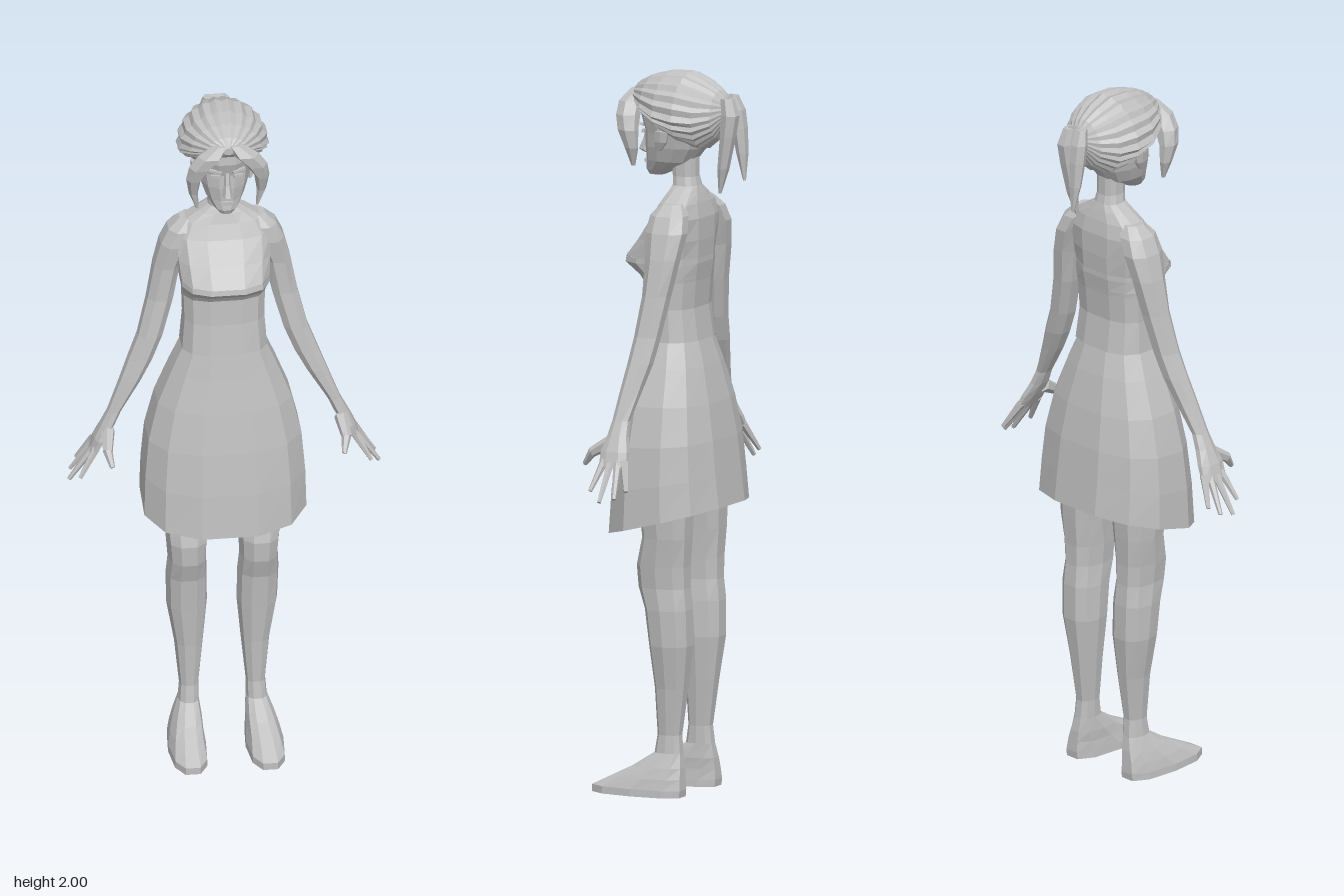
import * as THREE from 'three';
import { mergeGeometries } from 'three/addons/utils/BufferGeometryUtils.js';

const grey = new THREE.MeshStandardMaterial({ color: 0xc0c0c0, side: THREE.DoubleSide });
grey.name = 'clayGrey';

// Horizontal cross-section; boxiness below 1 squares it off, tilt slopes it along z
function level(y, x, zFront, zBack, halfWidth, sides, boxiness = 0.8, tilt = 0) {
  const mid = (zFront + zBack) / 2, depth = (zFront - zBack) / 2, ring = [];
  const pow = (v) => Math.sign(v) * Math.abs(v) ** boxiness;
  for (let i = 0; i < sides; i++) {
    const a = ((i + 0.5) / sides) * Math.PI * 2;
    const z = mid + depth * pow(Math.cos(a)) / pow(Math.cos(Math.PI / sides));
    ring.push(new THREE.Vector3(x + halfWidth * pow(Math.sin(a)), y + tilt * z, z));
  }
  return ring;
}

// Faceted skin over a stack of rings
function loft(rings, capped = true) {
  const n = rings[0].length, pos = [];
  const tri = (...pts) => pts.forEach((p) => pos.push(p.x, p.y, p.z));
  for (let r = 0; r < rings.length - 1; r++) {
    for (let i = 0; i < n; i++) {
      const j = (i + 1) % n, a = rings[r], b = rings[r + 1];
      tri(a[i], a[j], b[j]);
      tri(a[i], b[j], b[i]);
    }
  }
  if (capped) {
    const lo = rings[0], hi = rings[rings.length - 1];
    for (let i = 1; i < n - 1; i++) {
      tri(lo[0], lo[i + 1], lo[i]);
      tri(hi[0], hi[i], hi[i + 1]);
    }
  }
  const g = new THREE.BufferGeometry();
  g.setAttribute('position', new THREE.Float32BufferAttribute(pos, 3));
  g.computeVertexNormals();
  return g;
}

// Rows of [y, x, zFront, zBack, halfWidth, tilt], bottom to top
const stack = (rows, sides, boxiness, side = 1, capped = true) =>
  loft(rows.map(([y, x, f, b, w, t]) => level(y, side * x, f, b, w, sides, boxiness, t)), capped);

// Tapered segment between two points
function segment(a, b, ra, rb, sides = 6) {
  const from = new THREE.Vector3(...a), to = new THREE.Vector3(...b);
  const dir = to.clone().sub(from);
  let g = new THREE.CylinderGeometry(rb, ra, dir.length(), sides).toNonIndexed();
  g.applyQuaternion(new THREE.Quaternion().setFromUnitVectors(new THREE.Vector3(0, 1, 0), dir.normalize()));
  g.translate(...from.add(to).multiplyScalar(0.5).toArray());
  g.deleteAttribute('uv');
  g.computeVertexNormals();
  return g;
}

export function createModel() {
  const model = new THREE.Group();
  const add = (name, geometry) => {
    const mesh = new THREE.Mesh(geometry, grey);
    mesh.name = name;
    model.add(mesh);
    return mesh;
  };

  // Open skirt with a hem that rises at the back
  add('skirt', stack([
    [0.762, 0, 0.16, -0.165, 0.23, -0.26], [0.87, 0, 0.15, -0.155, 0.227, -0.15],
    [0.98, 0, 0.135, -0.145, 0.217, -0.06], [1.09, 0, 0.117, -0.128, 0.19, 0],
    [1.19, 0, 0.1, -0.105, 0.15, 0], [1.26, 0, 0.09, -0.085, 0.12, 0],
  ], 12, 0.8, 1, false));

  // Bodice with the ledge under the bust
  add('bodice', stack([
    [1.26, 0, 0.09, -0.085, 0.12], [1.35, 0, 0.078, -0.072, 0.113], [1.425, 0, 0.075, -0.078, 0.115],
    [1.44, 0, 0.085, -0.08, 0.118], [1.475, 0, 0.133, -0.085, 0.124], [1.49, 0, 0.13, -0.085, 0.124],
  ], 12, 0.7, 1, false));

  add('chestAndNeck', stack([
    [1.49, 0, 0.13, -0.085, 0.124], [1.54, 0, 0.09, -0.088, 0.13], [1.6, 0, 0.045, -0.088, 0.135],
    [1.64, 0, 0.025, -0.08, 0.112], [1.667, 0, 0.015, -0.072, 0.068], [1.685, 0, 0.008, -0.066, 0.04],
    [1.71, 0, 0.01, -0.06, 0.034], [1.77, 0, 0.015, -0.06, 0.034],
  ], 12, 0.75, 1, false));

  for (const [s, label] of [[1, 'left'], [-1, 'right']]) {
    // Bare leg and foot in one skin
    add(label + 'Leg', stack([
      [0, 0.107, 0.2, -0.068, 0.053], [0.02, 0.107, 0.2, -0.07, 0.052], [0.05, 0.105, 0.14, -0.068, 0.046],
      [0.08, 0.1, 0.08, -0.066, 0.04], [0.12, 0.094, 0.018, -0.06, 0.029], [0.17, 0.092, 0.01, -0.055, 0.027],
      [0.3, 0.092, 0.016, -0.072, 0.04], [0.42, 0.097, 0.028, -0.087, 0.056], [0.52, 0.099, 0.04, -0.086, 0.057],
      [0.58, 0.099, 0.06, -0.08, 0.053], [0.64, 0.1, 0.064, -0.08, 0.057], [0.72, 0.102, 0.045, -0.085, 0.063],
      [0.85, 0.1, 0.06, -0.09, 0.075], [1.0, 0.09, 0.06, -0.09, 0.082],
    ], 10, 0.8, s));

    // Arm from palm to shoulder
    add(label + 'Arm', stack([
      [0.95, 0.362, 0.055, -0.028, 0.012], [0.99, 0.343, 0.058, -0.022, 0.018], [1.03, 0.322, 0.048, -0.01, 0.02],
      [1.07, 0.303, 0.042, -0.005, 0.019], [1.16, 0.257, 0.036, -0.022, 0.03], [1.22, 0.229, 0.03, -0.035, 0.035],
      [1.29, 0.201, 0.024, -0.044, 0.036], [1.4, 0.172, 0.014, -0.06, 0.038], [1.5, 0.153, 0.015, -0.078, 0.038],
      [1.57, 0.132, 0.024, -0.088, 0.041], [1.615, 0.11, 0.02, -0.08, 0.042], [1.645, 0.085, 0.0, -0.06, 0.035],
    ], 8, 0.9, s));

    // Fingers and thumb
    const tips = [[0.4, 0.89, -0.045], [0.42, 0.87, -0.018], [0.428, 0.86, 0.023], [0.402, 0.885, 0.064]];
    const digits = tips.map((t, i) =>
      segment([s * 0.355, 0.965, -0.017 + i * 0.02], [s * t[0], t[1], t[2]], 0.012, 0.006));
    digits.push(segment([s * 0.322, 1.015, 0.035], [s * 0.33, 0.98, 0.095], 0.02, 0.014));
    digits.push(segment([s * 0.33, 0.985, 0.09], [s * 0.32, 0.945, 0.122], 0.014, 0.007));
    add(label + 'Fingers', mergeGeometries(digits));

    // Swept fringe lock
    add(label + 'Fringe', stack([
      [1.74, 0.083, 0.1, 0.09, 0.004], [1.79, 0.094, 0.112, 0.078, 0.013], [1.84, 0.094, 0.132, 0.08, 0.021],
      [1.88, 0.077, 0.143, 0.085, 0.031], [1.915, 0.048, 0.147, 0.09, 0.036], [1.945, 0.018, 0.13, 0.09, 0.02],
    ], 6, 0.9, s));

    // Ear, eye and brow
    add(label + 'Ear', stack([
      [1.785, 0.072, 0.03, 0.015, 0.006], [1.81, 0.078, 0.03, -0.005, 0.01], [1.84, 0.08, 0.028, -0.012, 0.012],
    ], 6, 1, s));
    const eye = add(label + 'Eye', new THREE.BoxGeometry(0.026, 0.009, 0.008));
    eye.position.set(s * 0.031, 1.83, 0.089);
    eye.rotation.y = s * 0.25;
    const brow = add(label + 'Brow', new THREE.BoxGeometry(0.036, 0.007, 0.009));
    brow.position.set(s * 0.033, 1.848, 0.092);
    brow.rotation.set(0, s * 0.25, s * 0.2);
  }

  // Head from chin to crown
  add('head', stack([
    [1.708, 0, 0.086, 0.04, 0.02], [1.722, 0, 0.092, 0.01, 0.034], [1.75, 0, 0.088, -0.05, 0.054],
    [1.79, 0, 0.09, -0.08, 0.068], [1.83, 0, 0.088, -0.095, 0.075], [1.87, 0, 0.1, -0.1, 0.08],
    [1.93, 0, 0.095, -0.09, 0.075],
  ], 12, 0.9));
  add('nose', stack([
    [1.766, 0, 0.1, 0.08, 0.012], [1.774, 0, 0.117, 0.08, 0.015],
    [1.805, 0, 0.104, 0.08, 0.009], [1.84, 0, 0.095, 0.08, 0.008],
  ], 6, 1));
  add('mouth', new THREE.BoxGeometry(0.034, 0.01, 0.009)).position.set(0, 1.745, 0.09);

  // Swept-back hair: ridged sections [z, centreY, up, down, side] from front to back
  const hairRows = [
    [0.13, 1.93, 0.012, 0.01, 0.012], [0.11, 1.92, 0.045, 0.015, 0.06], [0.07, 1.905, 0.08, 0.035, 0.1],
    [0.02, 1.887, 0.11, 0.05, 0.124], [-0.04, 1.876, 0.124, 0.075, 0.125], [-0.09, 1.872, 0.108, 0.085, 0.105],
    [-0.13, 1.88, 0.075, 0.06, 0.07], [-0.155, 1.895, 0.03, 0.025, 0.03],
  ];
  add('hair', loft(hairRows.reverse().map(([z, cy, up, down, side]) => {
    const ring = [];
    for (let i = 0; i < 44; i++) {
      const a = (i / 44) * Math.PI * 2, ridge = i % 2 ? 1.01 : 0.95, c = Math.cos(a);
      ring.push(new THREE.Vector3(-side * ridge * Math.sin(a), cy + (c > 0 ? up : down) * ridge * c, z));
    }
    return ring;
  })));

  // Ponytail: two hanging locks behind a tie
  add('hairTie', segment([0, 1.905, -0.14], [0, 1.915, -0.172], 0.03, 0.034, 8));
  add('leftPonytailLock', stack([
    [1.67, 0.018, -0.135, -0.142, 0.004], [1.74, 0.022, -0.137, -0.165, 0.017], [1.83, 0.024, -0.147, -0.185, 0.022],
    [1.89, 0.024, -0.15, -0.196, 0.023], [1.935, 0.02, -0.145, -0.18, 0.017],
  ], 6, 0.9));
  add('rightPonytailLock', stack([
    [1.705, -0.022, -0.19, -0.197, 0.004], [1.78, -0.024, -0.172, -0.2, 0.018], [1.85, -0.024, -0.157, -0.197, 0.022],
    [1.9, -0.024, -0.15, -0.19, 0.023], [1.94, -0.02, -0.145, -0.172, 0.017],
  ], 6, 0.9));

  return model;
}
